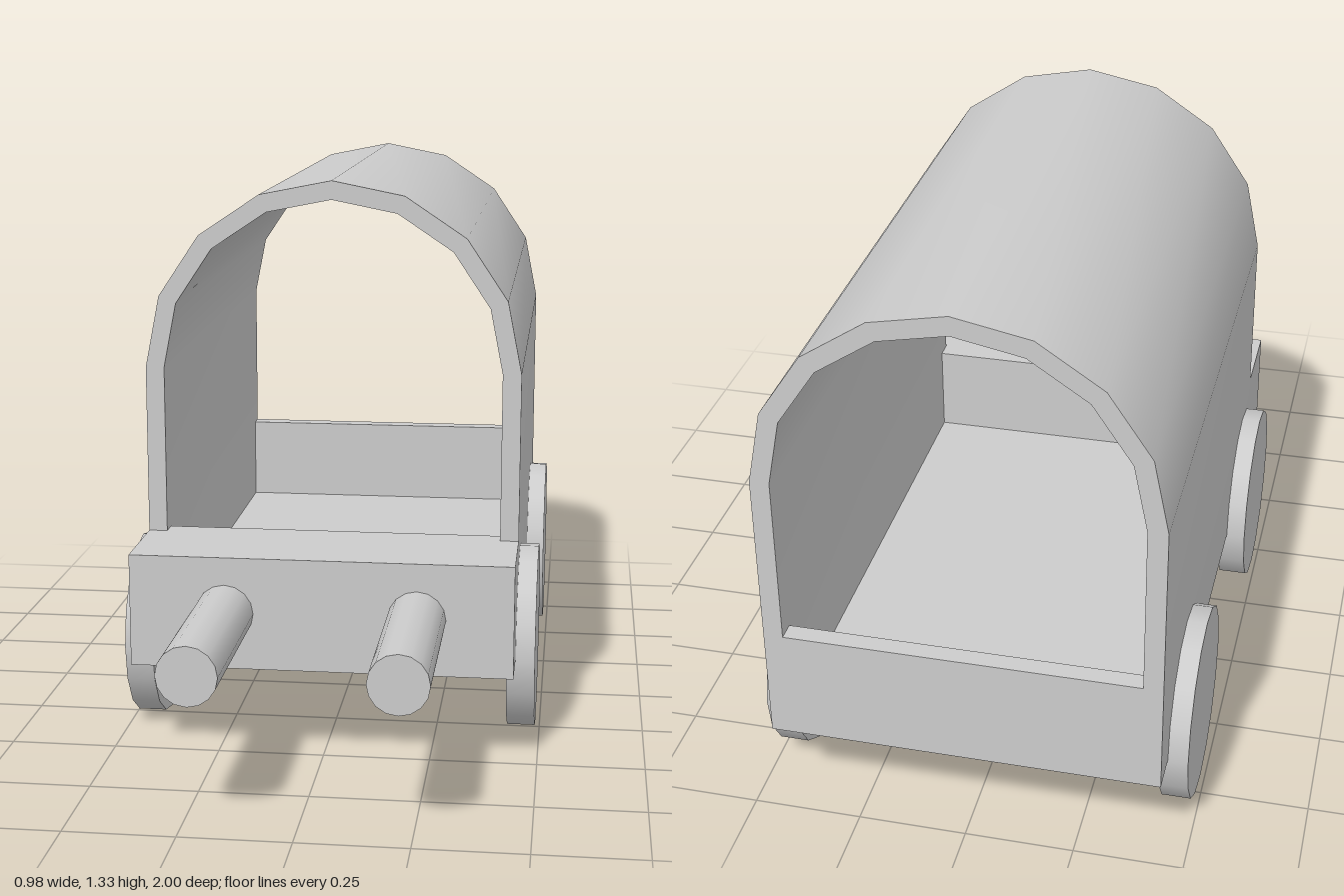
import * as THREE from 'three';
import { toCreasedNormals } from 'three/addons/utils/BufferGeometryUtils.js';

const W = 0.444;       // half width of the body
const T = 0.044;       // board thickness
const BOTTOM = 0.225, SILL = 0.49, SPRING = 0.889; // body underside, board top, arch start
const BACK = -1, MOUTH = 0.333, NOSE = 0.555;      // z of rear, cover front, box front

export function createModel() {
  const group = new THREE.Group();
  const material = new THREE.MeshStandardMaterial({ color: 0xcccccc });

  const add = (name, geometry, x, y, z) => {
    const mesh = new THREE.Mesh(geometry, material);
    mesh.name = name;
    mesh.position.set(x, y, z);
    group.add(mesh);
    return mesh;
  };
  const addBox = (name, halfW, y0, y1, z0, z1) =>
    add(name, new THREE.BoxGeometry(halfW * 2, y1 - y0, z1 - z0), 0, (y0 + y1) / 2, (z0 + z1) / 2);

  // Side walls and arched cover: one U-shaped section run along the wagon
  const archPoints = (r) => {
    const points = [new THREE.Vector2(r, BOTTOM)];
    for (let i = 0; i <= 8; i++) {
      const a = (i / 8) * Math.PI;
      points.push(new THREE.Vector2(r * Math.cos(a), SPRING + r * Math.sin(a)));
    }
    points.push(new THREE.Vector2(-r, BOTTOM));
    return points;
  };
  const section = new THREE.Shape([...archPoints(W), ...archPoints(W - T).reverse()]);
  const cover = new THREE.ExtrudeGeometry(section, { depth: MOUTH - BACK, bevelEnabled: false });
  add('wagonCover', toCreasedNormals(cover, Math.PI / 6), 0, 0, BACK);

  // Floor, end boards and the solid box at the front
  addBox('floor', W - T, BOTTOM, BOTTOM + T, BACK, MOUTH);
  addBox('rearBoard', W - T, BOTTOM, SILL, BACK, BACK + T);
  addBox('frontBoard', W - T, BOTTOM, SILL, MOUTH - T, MOUTH);
  addBox('driverBox', W, BOTTOM, SILL, MOUTH, NOSE);

  // Wheels and draw shafts, mirrored left and right
  const wheel = new THREE.CylinderGeometry(0.222, 0.222, 0.067, 16).rotateZ(Math.PI / 2);
  const shaft = new THREE.CylinderGeometry(0.067, 0.067, 1 - NOSE, 16).rotateX(Math.PI / 2);
  for (const [side, s] of [['left', 1], ['right', -1]]) {
    add(side + 'FrontWheel', wheel, s * 0.456, 0.222, 0.2);
    add(side + 'RearWheel', wheel, s * 0.456, 0.222, -0.689);
    add(side + 'Shaft', shaft, s * 0.222, 0.358, (1 + NOSE) / 2);
  }
  return group;
}
